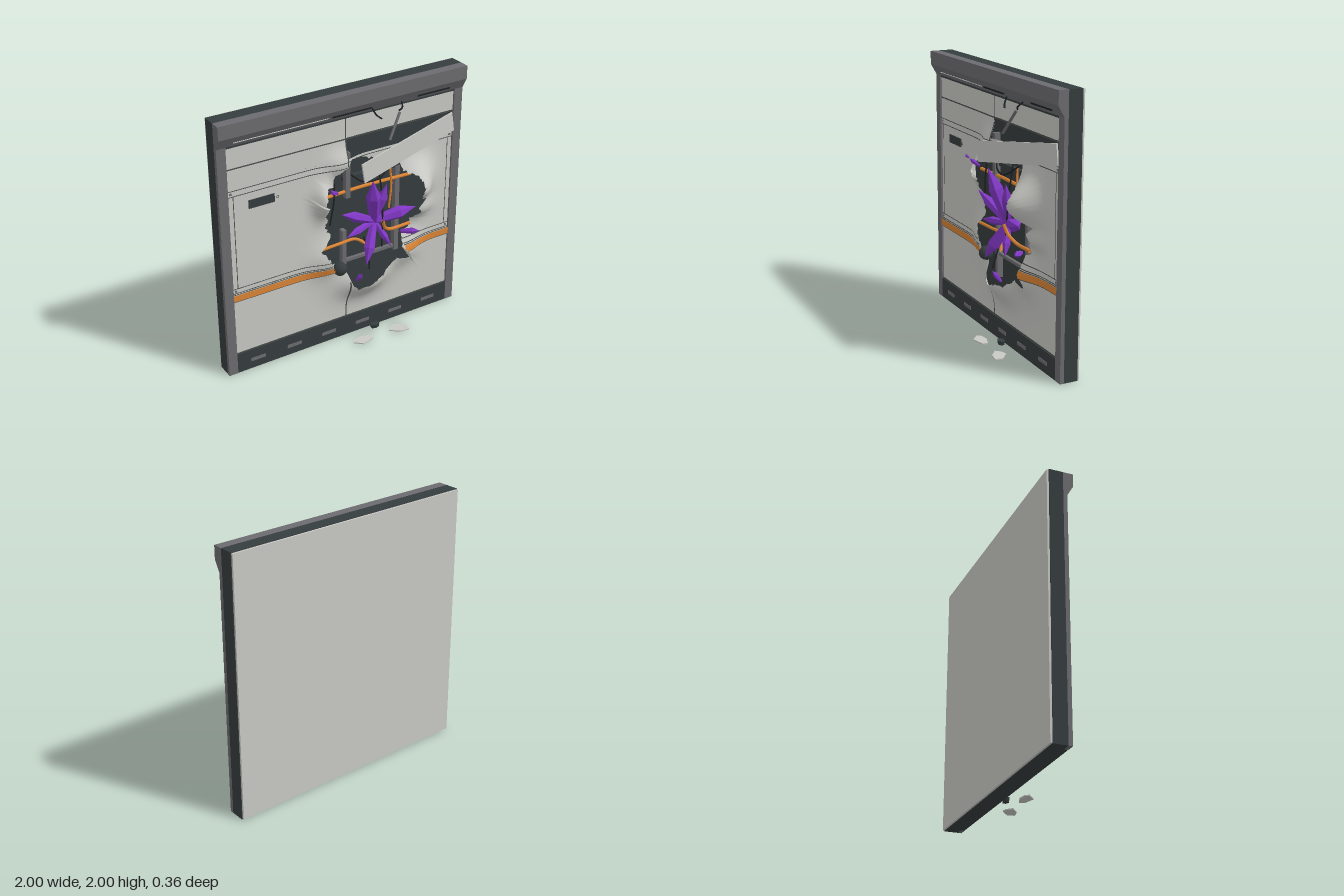
import * as THREE from 'three';

const mat = (name, color, side = THREE.FrontSide, flatShading = false) => {
  const m = new THREE.MeshStandardMaterial({ color, side, flatShading });
  m.name = name;
  return m;
};

export function createModel() {
  const root = new THREE.Group();
  root.name = 'breachedWall';
  const D = THREE.DoubleSide;
  const light = mat('paleSteel', 0xc8c8c4, D), grey = mat('frameGrey', 0x6c6c70);
  const dark = mat('darkSteel', 0x363d3e), black = mat('cableBlack', 0x1d2122);
  const seam = mat('seamGrey', 0x4a504c, D), orange = mat('orange', 0xdb8435, D);
  const purple = mat('crystalPurple', 0x8238c6, THREE.FrontSide, true);

  let seed = 7;
  const rnd = () => (seed = (seed * 16807) % 2147483647) / 2147483647;
  const add = (name, geo, m, x = 0, y = 0, z = 0) => {
    const mesh = new THREE.Mesh(geo, m);
    mesh.name = name;
    mesh.position.set(x, y, z);
    root.add(mesh);
    return mesh;
  };
  const box = (name, m, x0, x1, y0, y1, z0, z1) => add(name,
    new THREE.BoxGeometry(x1 - x0, y1 - y0, z1 - z0), m, (x0 + x1) / 2, (y0 + y1) / 2, (z0 + z1) / 2);
  const tube = (name, m, r, pts) => add(name, new THREE.TubeGeometry(
    new THREE.CatmullRomCurve3(pts.map(p => new THREE.Vector3(...p))), 24, r, 8), m);

  // Body, back plate and frame
  box('backPlate', light, -0.995, 0.995, 0.005, 1.995, -0.18, -0.165);
  box('wallCore', dark, -1, 1, 0, 2, -0.165, -0.1);
  box('coreTop', dark, -1, 1, 1.81, 2, -0.1, -0.06);
  box('coreSill', dark, -1, 1, 0, 0.16, -0.1, -0.06);
  for (const s of [-1, 1]) {
    const a = Math.min(s, s * 0.93), b = Math.max(s, s * 0.93);
    box('coreSide', dark, a, b, 0.16, 1.81, -0.1, -0.06);
    box('framePost', grey, a, b, 0, 1.83, -0.06, -0.03);
  }
  const section = new THREE.Shape([[0.06, 2], [0.06, 1.82], [0.03, 1.82], [-0.015, 1.9], [-0.015, 2]]
    .map(p => new THREE.Vector2(...p)));
  const header = add('header', new THREE.ExtrudeGeometry(section, { depth: 2, bevelEnabled: false }), grey, -1);
  header.rotation.y = Math.PI / 2;
  box('headerShadowGap', dark, -0.93, 0.93, 1.805, 1.82, -0.06, -0.035);
  [[-0.88, -0.15, light, 0.004], [-0.12, 0.2, black, 0.012], [0.59, 0.87, black, 0.012]].forEach(([a, b, m, h]) =>
    box('headerSlot', m, a, b, 1.85 - h / 2, 1.85 + h / 2, -0.03, -0.008));
  box('sill', dark, -0.93, 0.93, 0, 0.16, -0.06, -0.032);
  for (const x of [-0.76, -0.455, -0.155, 0.145, 0.445, 0.755])
    box('sillSlot', grey, x - 0.06, x + 0.06, 0.062, 0.088, -0.032, -0.028);

  // Ragged outline of the breach
  const outline = [[-0.22, 1.21], [-0.17, 1.31], [-0.11, 1.3], [-0.1, 1.38], [0, 1.43], [0.05, 1.49], [0.3, 1.42],
    [0.44, 1.4], [0.46, 1.3], [0.56, 1.25], [0.57, 1.18], [0.55, 1.12], [0.6, 1.06], [0.67, 1.01], [0.6, 0.96],
    [0.64, 0.9], [0.56, 0.86], [0.57, 0.8], [0.49, 0.76], [0.47, 0.65], [0.54, 0.54], [0.42, 0.57], [0.36, 0.52],
    [0.28, 0.48], [0.2, 0.47], [0.06, 0.43], [0.01, 0.49], [-0.02, 0.58], [-0.1, 0.6], [-0.14, 0.7], [-0.17, 0.74],
    [-0.22, 0.81], [-0.17, 0.85], [-0.13, 0.91], [-0.18, 0.99], [-0.15, 1.04], [-0.19, 1.1], [-0.16, 1.16]];
  const cx = 0.2, cy = 0.97;
  const hitRay = (poly, a) => {
    const dx = Math.cos(a), dy = Math.sin(a);
    let best = 0;
    poly.forEach(([px, py], i) => {
      const [qx, qy] = poly[(i + 1) % poly.length];
      const ex = qx - px, ey = qy - py, den = dx * ey - dy * ex;
      if (Math.abs(den) < 1e-9) return;
      const t = ((px - cx) * ey - (py - cy) * ex) / den, u = ((px - cx) * dy - (py - cy) * dx) / den;
      if (t > 0 && u >= -1e-6 && u <= 1.000001) best = Math.max(best, t);
    });
    return best;
  };
  const inHole = (x, y) => Math.hypot(x - cx, y - cy) < hitRay(outline, Math.atan2(y - cy, x - cx));

  // Outward dents of the skin: x, y, height, spread x, spread y
  const dents = [[0.57, 1.16, 0.2, 0.15, 0.16], [0.64, 0.92, 0.05, 0.12, 0.07], [-0.2, 1.22, 0.1, 0.07, 0.13],
    [0.15, 0.47, 0.13, 0.2, 0.13], [-0.05, 1.47, 0.05, 0.12, 0.1], [-0.16, 0.72, 0.06, 0.14, 0.15], [0.5, 0.6, 0.07, 0.15, 0.12]];
  const skinZ = (x, y) => dents.reduce((z, [px, py, h, sx, sy]) =>
    z + h * Math.exp(-(((x - px) / sx) ** 2) - ((y - py) / sy) ** 2), -0.045);

  // Grid of points joined into a surface
  const surface = (name, m, nu, nv, at, keep = () => true) => {
    const pos = [], idx = [];
    for (let i = 0; i <= nu; i++) for (let j = 0; j <= nv; j++) pos.push(...at(i, j));
    for (let i = 0; i < nu; i++) for (let j = 0; j < nv; j++) {
      const a = i * (nv + 1) + j, b = a + nv + 1;
      if ([a, a + 1, b, b + 1].every(k => keep(pos[k * 3], pos[k * 3 + 1]))) idx.push(a, b, a + 1, b, b + 1, a + 1);
    }
    const g = new THREE.BufferGeometry();
    g.setAttribute('position', new THREE.Float32BufferAttribute(pos, 3));
    g.setIndex(idx);
    g.computeVertexNormals();
    return add(name, g, m);
  };
  // Strip that follows the dented skin and stops at the breach
  const strip = (name, m, x0, x1, y0, y1, lift = 0.005) => {
    const nx = Math.max(2, Math.ceil((x1 - x0) / 0.015)), ny = Math.max(1, Math.ceil((y1 - y0) / 0.015));
    return surface(name, m, nx, ny, (i, j) => {
      const x = x0 + (x1 - x0) * i / nx, y = y0 + (y1 - y0) * j / ny;
      return [x, y, skinZ(x, y) + lift];
    }, (x, y) => !inHole(x, y));
  };

  // Torn skin: rings from the breach out to the panel border
  const rect = [[-0.93, 0.16], [0.93, 0.16], [0.93, 1.5], [-0.93, 1.5]];
  const angles = [...rect, ...outline].map(([x, y]) => Math.atan2(y - cy, x - cx));
  for (let i = 0; i < 150; i++) angles.push(-Math.PI + (i + 0.5) * Math.PI / 75);
  angles.sort((a, b) => a - b);
  angles.push(angles[0]);
  const rays = angles.map(a => [a, hitRay(outline, a) + (rnd() - 0.5) * 0.022, hitRay(rect, a)]);
  rays[rays.length - 1] = rays[0];
  surface('tornSkin', light, rays.length - 1, 28, (i, j) => {
    const [a, r0, r1] = rays[i];
    const r = r0 + (r1 - r0) * (j / 28) ** 1.4;
    const x = cx + Math.cos(a) * r, y = cy + Math.sin(a) * r;
    return [x, y, skinZ(x, y)];
  }).geometry.index.array.reverse();
  strip('upperSkinLeft', light, -0.93, 0, 1.5, 1.81, 0);
  strip('upperSkinRight', light, 0, 0.93, 1.652, 1.81, 0);

  // Seams, trim lines and the orange band
  strip('orangeBand', orange, -0.93, -0.09, 0.612, 0.662, 0.014);
  strip('orangeBand', orange, 0.49, 0.93, 0.612, 0.662, 0.014);
  for (const y of [0.605, 0.663]) strip('bandEdge', seam, -0.93, 0.93, y, y + 0.006, 0.01);
  for (const y of [0.672, 0.708, 1.438, 1.48]) strip('trimLine', seam, -0.93, 0.93, y, y + 0.006);
  for (const y of [0.16, 1.642]) strip('panelSeam', seam, -0.93, 0.93, y, y + 0.01);
  strip('middleSeam', seam, -0.005, 0.005, 1.4, 1.81);
  strip('middleSeam', seam, -0.005, 0.005, 0.16, 0.5);
  for (const s of [-1, 1]) {
    strip('sideTrim', seam, s * 0.89 - 0.003, s * 0.89 + 0.003, 0.71, 1.44);
    for (const y of [0.693, 1.462])
      add('rivet', new THREE.CylinderGeometry(0.008, 0.008, 0.008, 10), grey, s * 0.907, y, -0.04).rotation.x = Math.PI / 2;
  }
  box('namePlate', dark, -0.775, -0.575, 1.317, 1.38, -0.045, -0.037);
  add('lockRing', new THREE.TorusGeometry(0.009, 0.002, 6, 16), seam, -0.55, 1.347, -0.04);

  // Studs, pipes and cables inside the breach
  box('stud', grey, 0.44, 0.478, 0.6, 1.31, -0.1, -0.055);
  box('stud', grey, -0.017, 0.017, 0.45, 0.9, -0.1, -0.055);
  box('stud', grey, -0.005, 0.03, 1.18, 1.54, -0.07, -0.025);
  box('crossRail', grey, 0, 0.48, 0.622, 0.645, -0.09, -0.065);
  box('upperRail', dark, 0, 0.47, 1.3, 1.33, -0.1, -0.06);
  tube('pipe', orange, 0.013, [[-0.21, 1.23, -0.035], [0.15, 1.23, -0.05], [0.56, 1.23, -0.035]]);
  tube('pipe', orange, 0.012, [[-0.22, 0.815, -0.03], [-0.05, 0.815, -0.04], [0.08, 0.815, -0.04], [0.14, 0.78, -0.02], [0.2, 0.72, 0.01]]);
  tube('pipe', orange, 0.013, [[0.28, 0.94, 0.03], [0.31, 0.87, 0.01], [0.38, 0.82, -0.02], [0.56, 0.815, -0.03]]);
  tube('pipe', orange, 0.008, [[0.37, 1.37, -0.03], [0.38, 1.2, -0.02], [0.37, 1, -0.03]]);
  [[[-0.1, 1.33, -0.03], [-0.11, 1.2, -0.02], [-0.14, 1, -0.03]],
    [[0.03, 1.37, -0.04], [0.12, 1.3, 0], [0.25, 1.29, 0.01], [0.4, 1.38, -0.03]],
    [[0.15, 0.82, -0.03], [0.16, 0.7, 0.02], [0.15, 0.58, 0.05]],
    [[0.28, 1.36, -0.04], [0.29, 1.1, 0], [0.28, 0.72, 0.02]],
    [[0.21, 1.84, -0.03], [0.23, 1.79, 0], [0.265, 1.76, 0.02]],
    [[0.42, 1.78, 0], [0.44, 1.8, 0.01], [0.46, 1.84, -0.03]]].forEach(p => tube('cable', black, 0.006, p));
  add('junctionBall', new THREE.IcosahedronGeometry(0.055, 1), dark, -0.07, 0.625, -0.005);

  // Rod between two points
  const between = (mesh, a, b) => {
    const p = new THREE.Vector3(...a), dir = new THREE.Vector3(...b).sub(p);
    mesh.position.copy(p);
    mesh.quaternion.setFromUnitVectors(new THREE.Vector3(0, 1, 0), dir.normalize());
  };
  // Crystals: six-sided, pointed at the free end
  const crystal = (a, b, r) => {
    const len = new THREE.Vector3(...a).distanceTo(new THREE.Vector3(...b));
    const prof = [[0, 0], [r * 0.6, 0], [r, len * 0.62], [0, len]].map(p => new THREE.Vector2(...p));
    between(add('crystal', new THREE.LatheGeometry(prof, 6), purple), a, b);
  };
  const hub = [0.24, 0.93, -0.03];
  [[0.15, 1.33, 0.09, 0.055], [-0.09, 1.11, 0.05, 0.04], [-0.04, 0.9, 0.04, 0.03], [0.55, 1.0, 0.06, 0.05],
    [0.1, 0.65, 0.09, 0.045], [0.34, 0.72, 0.05, 0.03], [0.31, 1.24, 0.03, 0.04], [0.2, 1.18, 0.02, 0.04]]
    .forEach(([x, y, z, r]) => crystal(hub, [x, y, z], r));
  crystal([0.1, 0.45, -0.04], [0.1, 0.54, 0.03], 0.02);
  crystal([0.47, 0.78, -0.01], [0.57, 0.8, 0.09], 0.025);
  crystal([-0.11, 1.28, 0.03], [-0.19, 1.32, 0.07], 0.018);
  crystal([-0.18, 1.33, 0.08], [-0.2, 1.35, 0.1], 0.012);

  // Hanging plank, loose bar and floor debris
  add('loosePlank', new THREE.BoxGeometry(0.9, 0.15, 0.012), light, 0.485, 1.497, 0.045).rotation.set(0, 0.165, 0.155, 'ZYX');
  const bar = add('looseBar', new THREE.CylinderGeometry(0.01, 0.01, 0.21, 8).translate(0, 0.105, 0), grey);
  between(bar, [0.31, 1.6, 0.055], [0.42, 1.77, 0.01]);
  [[[0, 0.07], [0.07, 0.06], [0.15, 0.09], [0.14, 0.13], [0.04, 0.155], [-0.02, 0.1]],
    [[0.34, 0.07], [0.38, 0.06], [0.45, 0.12], [0.44, 0.175], [0.37, 0.165], [0.3, 0.11]]].forEach(p => {
    const s = new THREE.Shape(p.map(([x, z]) => new THREE.Vector2(x, -z)));
    add('floorShard', new THREE.ExtrudeGeometry(s, { depth: 0.009, bevelEnabled: false }), light).rotation.x = -Math.PI / 2;
  });
  add('floorNut', new THREE.CylinderGeometry(0.04, 0.035, 0.03, 6), dark, 0.225, 0.032, 0.02).scale.z = 0.7;
  return root;
}
